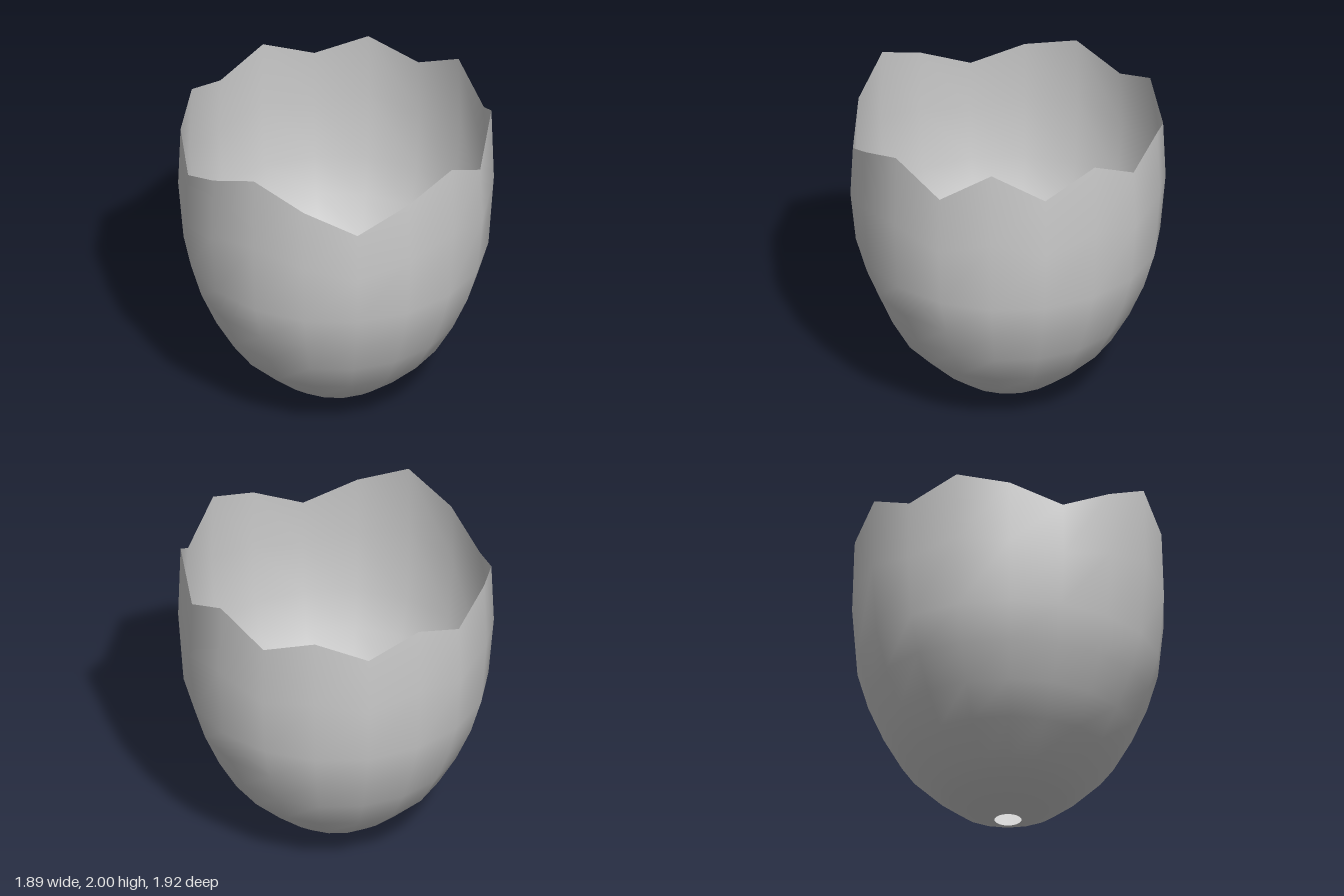
import * as THREE from 'three';

const SIDES = 18;

// Height of the broken rim at each side, counted from the front towards +x
const RIM = [1.99, 1.84, 1.68, 1.84, 1.96, 1.78, 2.0, 1.81, 1.97,
  1.8, 1.91, 1.78, 1.91, 1.78, 1.9, 1.82, 1.7, 1.85];

// Rings of the shell below the break: [radius, height]
const PROFILE = [[0.083, 0], [0.328, 0.1], [0.458, 0.2], [0.652, 0.39],
  [0.765, 0.59], [0.86, 0.81], [0.927, 1.04]];

export function createModel() {
  const group = new THREE.Group();
  group.name = 'brokenEggshell';

  const shellGrey = new THREE.MeshStandardMaterial({ color: 0xcccccc, side: THREE.DoubleSide });
  shellGrey.name = 'shell grey';

  const rows = PROFILE.length + 2;
  const positions = [];
  const indices = [];

  for (let j = 0; j < rows; j++) {
    for (let i = 0; i < SIDES; i++) {
      // The last two rings follow the jagged rim
      const baseY = PROFILE[PROFILE.length - 1][1];
      let [r, y] = PROFILE[j] ?? [0.945, RIM[i]];
      if (j === rows - 2) [r, y] = [0.96, (baseY + RIM[i]) / 2];
      const a = (i / SIDES) * Math.PI * 2;
      positions.push(r * Math.sin(a), y, r * Math.cos(a));

      if (j < rows - 1) {
        const next = (i + 1) % SIDES;
        const p = j * SIDES + i, q = j * SIDES + next;
        indices.push(p, q, q + SIDES, p, q + SIDES, p + SIDES);
      }
    }
  }

  // Thin open shell with a small round hole at the bottom
  const geometry = new THREE.BufferGeometry();
  geometry.setAttribute('position', new THREE.Float32BufferAttribute(positions, 3));
  geometry.setIndex(indices);
  geometry.computeVertexNormals();

  const shell = new THREE.Mesh(geometry, shellGrey);
  shell.name = 'shell';
  group.add(shell);
  return group;
}
